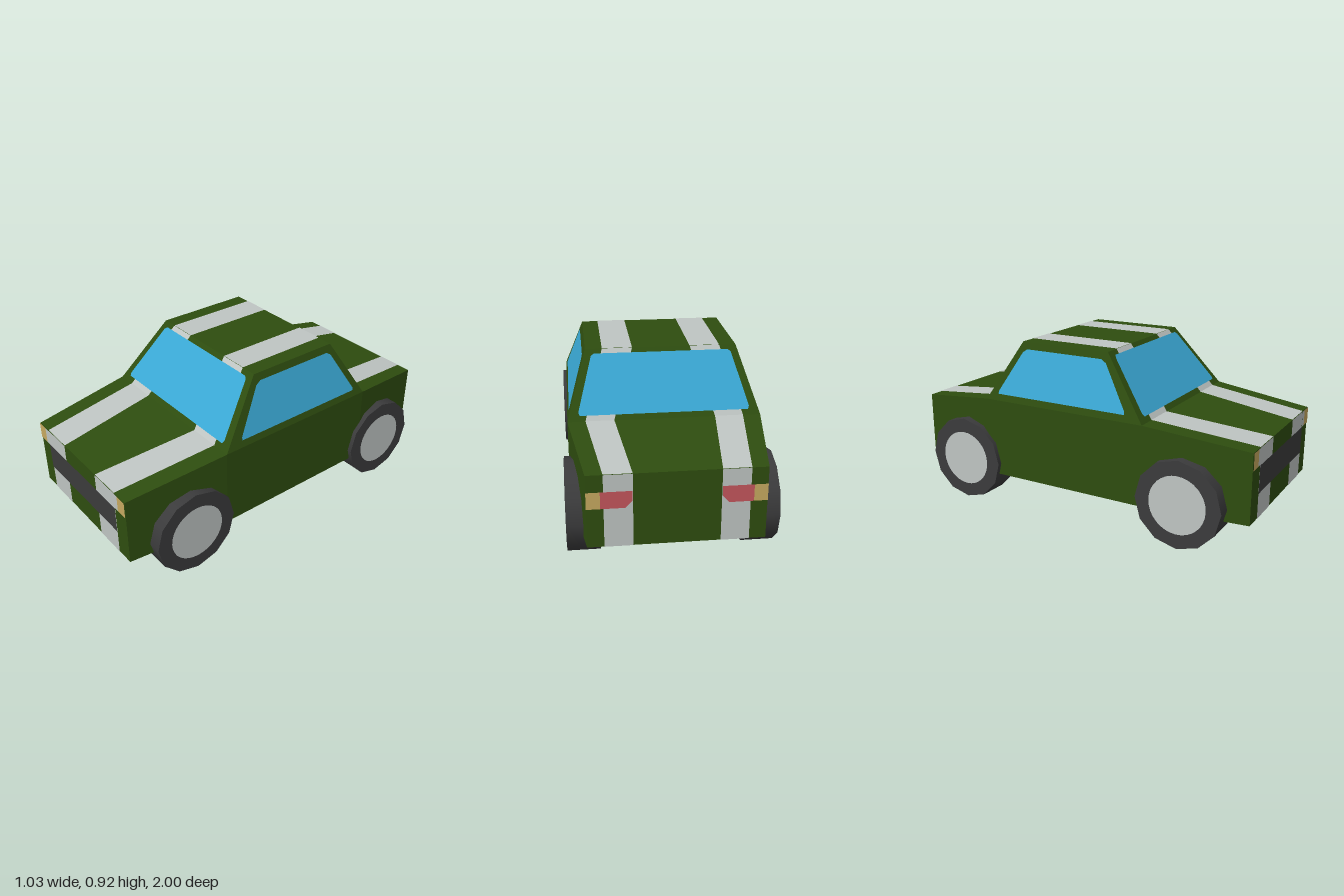
import * as THREE from 'three';

const material = (name, color) => {
  const m = new THREE.MeshStandardMaterial({ color });
  m.name = name;
  return m;
};

// Flat convex polygons, turned outward from the car's middle and raised by lift
function polygons(faces, lift = 0) {
  const out = [];
  const middle = new THREE.Vector3(0, 0.4, 0);
  for (const face of faces) {
    let p = face.map((c) => new THREE.Vector3(...c));
    const n = new THREE.Vector3();
    p.forEach((a, i) => n.add(a.clone().cross(p[(i + 1) % p.length])));
    n.normalize();
    if (n.dot(p[0].clone().sub(middle)) < 0) {
      p.reverse();
      n.negate();
    }
    p = p.map((v) => v.addScaledVector(n, lift));
    for (let i = 1; i < p.length - 1; i++) {
      for (const v of [p[0], p[i], p[i + 1]]) out.push(v.x, v.y, v.z);
    }
  }
  const g = new THREE.BufferGeometry();
  g.setAttribute('position', new THREE.Float32BufferAttribute(out, 3));
  g.computeVertexNormals();
  return g;
}

export function createModel() {
  const green = material('green paint', 0x2e4d0f);
  const white = material('stripe white', 0xbfc5c3);
  const blue = material('window blue', 0x3aa8d4);
  const dark = material('rubber dark', 0x3b3b3c);
  const amber = material('lamp amber', 0xc6a960);
  const red = material('lamp red', 0xc4565c);

  const car = new THREE.Group();
  car.name = 'car';
  const add = (name, geometry, mat, parent = car) => {
    const mesh = new THREE.Mesh(geometry, mat);
    mesh.name = name;
    parent.add(mesh);
    return mesh;
  };
  const mirror = (face) => face.map(([x, y, z]) => [-x, y, z]);
  const pair = (name, faces, mat, lift) =>
    add(name, polygons([...faces, ...faces.map(mirror)], lift), mat);

  // Body stations from nose to tail: half width, height, z
  const floor = 0.17;
  const nose = [0.43, 0.54, 0.995];
  const cowl = [0.49, 0.6, 0.44];
  const roofFront = [0.388, 0.92, 0.19];
  const roofBack = [0.388, 0.92, -0.335];
  const deck = [0.49, 0.6, -0.52];
  const tail = [0.42, 0.54, -0.995];
  const low = ([x, , z]) => [x, floor, z];
  const across = (a, b) => [a, b, ...mirror([b, a])];

  const top = [nose, cowl, roofFront, roofBack, deck, tail];
  const shell = [across(low(nose), nose), across(low(tail), tail)];
  for (let i = 0; i < top.length - 1; i++) shell.push(across(top[i], top[i + 1]));
  for (const [a, b] of [[nose, cowl], [cowl, deck], [deck, tail]]) {
    const side = [low(a), a, b, low(b)];
    shell.push(side, mirror(side));
  }
  const cabinSide = [cowl, roofFront, roofBack, deck];
  shell.push(cabinSide, mirror(cabinSide));
  add('body', polygons(shell), green);

  add('underside', polygons([
    across(low(nose), low(cowl)),
    across(low(cowl), low(deck)),
    across(low(deck), low(tail)),
  ]), dark);

  // Twin stripes: inner x, outer x, y, z at each bend
  const stripe = [
    [0.155, 0.335, floor, 0.995],
    [0.155, 0.335, 0.54, 0.995],
    [0.217, 0.388, 0.6, 0.44],
    [0.148, 0.302, 0.92, 0.19],
    [0.148, 0.302, 0.92, -0.335],
    [0.256, 0.4, 0.6, -0.52],
    [0.205, 0.34, 0.54, -0.995],
    [0.205, 0.34, floor, -0.995],
  ];
  const bands = stripe.slice(1).map(([i1, o1, y1, z1], k) => {
    const [i0, o0, y0, z0] = stripe[k];
    return [[i0, y0, z0], [o0, y0, z0], [o1, y1, z1], [i1, y1, z1]];
  });
  pair('stripes', bands, white, 0.002);

  // Windows follow the slope of their panel
  const screen = (base, roof) => {
    const outline = [[0.428, 0.625], [0.434, 0.64], [0.36, 0.886], [0.345, 0.898]];
    const half = outline.map(([x, y]) =>
      [x, y, base[2] + (roof[2] - base[2]) * (y - 0.6) / 0.32]);
    return [...half, ...mirror(half).reverse()];
  };
  add('windshield', polygons([screen(cowl, roofFront)], 0.004), blue);
  add('rearWindow', polygons([screen(deck, roofBack)], 0.004), blue);
  const sideOutline = [
    [0.335, 0.635], [0.335, 0.65], [0.19, 0.865], [0.16, 0.882],
    [-0.3, 0.882], [-0.325, 0.865], [-0.445, 0.65], [-0.445, 0.635],
  ];
  const sideGlass = sideOutline.map(([z, y]) =>
    [0.49 - (0.102 * (y - 0.6)) / 0.32, y, z]);
  pair('sideWindows', [sideGlass], blue, 0.003);

  // Nose and tail details
  const rect = (x0, x1, y0, y1, z) => [[x0, y0, z], [x1, y0, z], [x1, y1, z], [x0, y1, z]];
  add('grille', polygons([rect(-0.338, 0.335, 0.304, 0.45, 0.995)], 0.004), dark);
  pair('headlights', [rect(0.33, 0.365, 0.452, 0.54, 0.995)], white, 0.004);
  pair('frontIndicators', [rect(0.365, 0.43, 0.452, 0.54, 0.995)], amber, 0.004);
  pair('rearIndicators', [rect(0.355, 0.42, 0.37, 0.455, -0.995)], amber, 0.004);
  pair('tailLights', [[
    [0.24, 0.37, -0.995], [0.355, 0.37, -0.995], [0.355, 0.455, -0.995],
    [0.207, 0.455, -0.995], [0.207, 0.405, -0.995],
  ]], red, 0.004);

  // Wheels with flush hub discs
  const tire = new THREE.CylinderGeometry(0.233, 0.233, 0.165, 12).rotateZ(-Math.PI / 2);
  const hub = new THREE.CircleGeometry(0.154, 32).rotateY(Math.PI / 2);
  for (const side of [1, -1]) {
    for (const [end, z] of [['front', 0.65], ['rear', -0.675]]) {
      const wheel = new THREE.Group();
      wheel.name = `${end}${side > 0 ? 'Left' : 'Right'}Wheel`;
      wheel.position.set(side * 0.432, 0.233, z);
      if (side < 0) wheel.rotation.y = Math.PI;
      add('tire', tire, dark, wheel);
      add('hub', hub, white, wheel).position.x = 0.085;
      car.add(wheel);
    }
  }
  return car;
}
